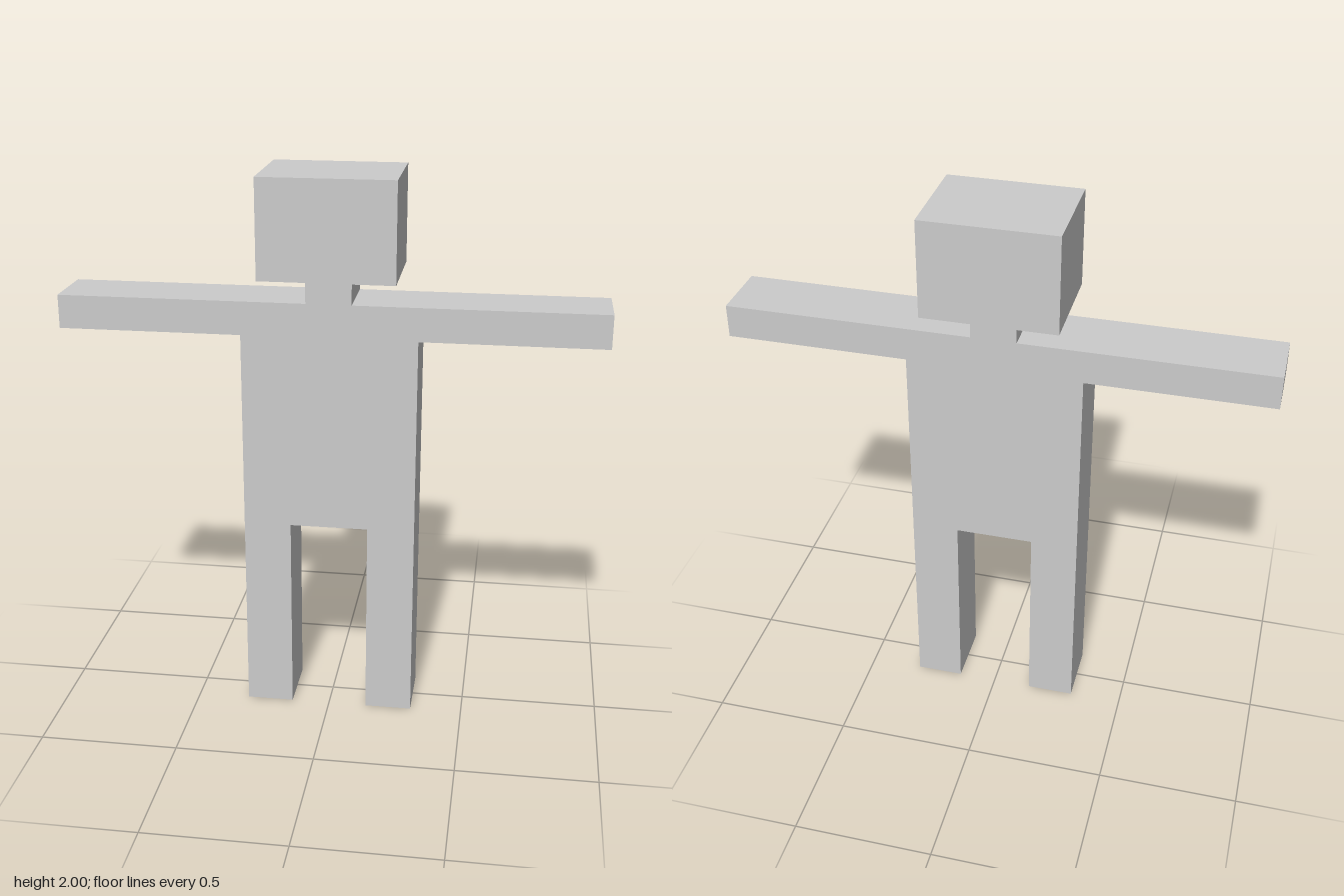
import * as THREE from 'three';

const DEPTH = 0.23;
const HEAD_BOTTOM = 1.65;

export function createModel() {
  const group = new THREE.Group();
  group.name = 'blockFigure';
  const material = new THREE.MeshStandardMaterial({ color: 0xcccccc, flatShading: true });

  // Body: one half of the outline (leg, arm, neck), mirrored and extruded
  const half = [
    [0.14, 0.73], [0.14, 0], [0.31, 0], [0.31, 1.44], // leg and side
    [0.96, 1.44], [0.96, 1.56],                       // arm
    [0.08, 1.56], [0.08, HEAD_BOTTOM],                // shoulder and neck
  ];
  const mirrored = half.map(([x, y]) => [-x, y]).reverse();
  const outline = new THREE.Shape([...half, ...mirrored].map(([x, y]) => new THREE.Vector2(x, y)));
  const bodyGeometry = new THREE.ExtrudeGeometry(outline, { depth: DEPTH, bevelEnabled: false });
  bodyGeometry.translate(0, 0, -DEPTH / 2);
  const body = new THREE.Mesh(bodyGeometry, material);
  body.name = 'body';
  group.add(body);

  // Head: a block resting on the neck
  const headHeight = 2 - HEAD_BOTTOM;
  const head = new THREE.Mesh(new THREE.BoxGeometry(0.475, headHeight, 0.365), material);
  head.name = 'head';
  head.position.y = HEAD_BOTTOM + headHeight / 2;
  group.add(head);

  return group;
}
